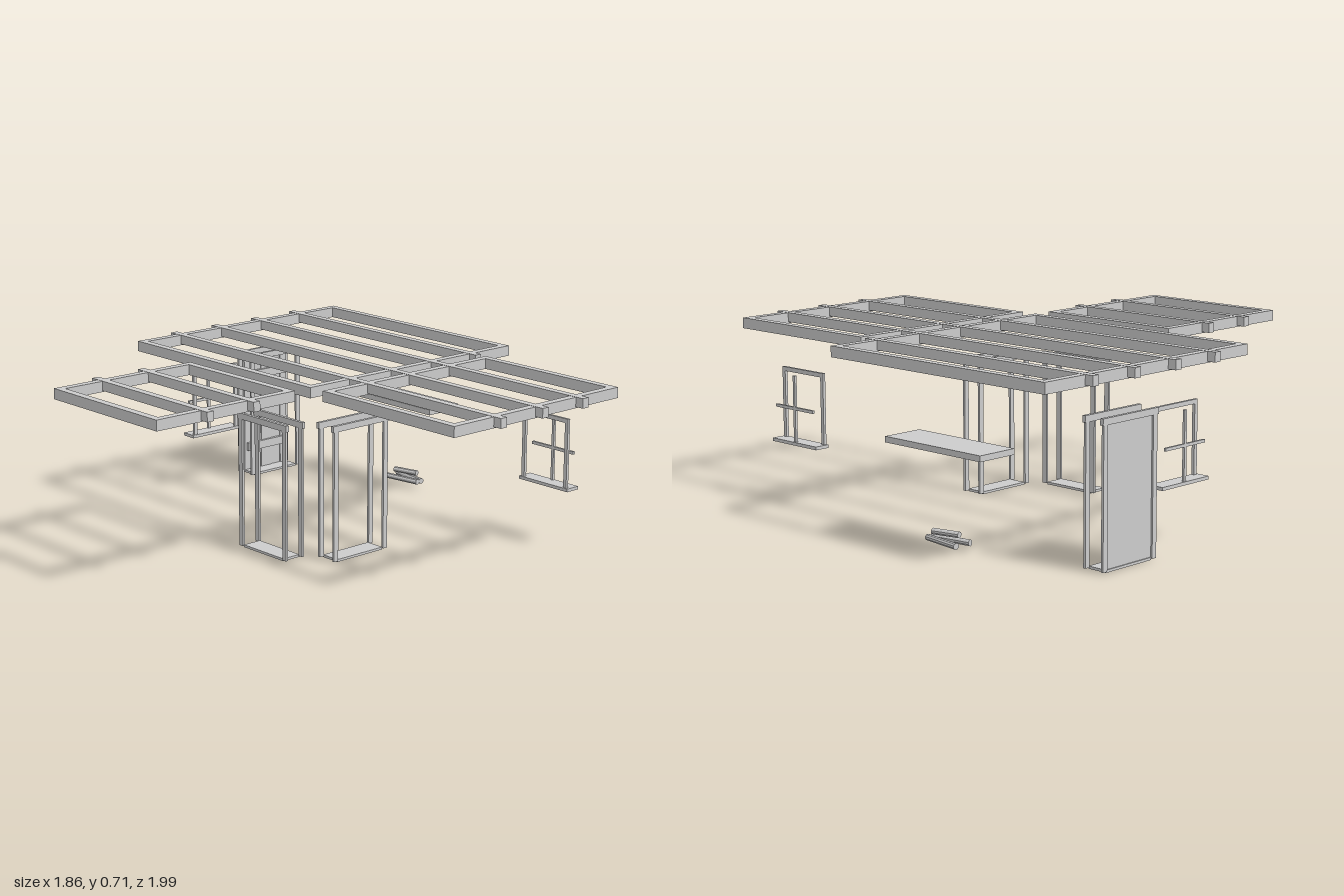
import * as THREE from 'three';

const grey = new THREE.MeshStandardMaterial({ color: 0xcccccc, flatShading: true });

// Box given by its min and max on each axis
function slab(parent, name, x0, x1, y0, y1, z0, z1) {
  const mesh = new THREE.Mesh(new THREE.BoxGeometry(x1 - x0, y1 - y0, z1 - z0), grey);
  mesh.position.set((x0 + x1) / 2, (y0 + y1) / 2, (z0 + z1) / 2);
  mesh.name = name;
  parent.add(mesh);
  return mesh;
}

function group(parent, name, x = 0, z = 0, turn = 0) {
  const g = new THREE.Group();
  g.name = name;
  g.position.set(x, 0, z);
  g.rotation.y = turn;
  parent.add(g);
  return g;
}

// Rectangular ceiling frame with rafters that stick out past both ends
function ceilingFrame(parent, name, x0, x1, z0, z1, rafters) {
  const g = group(parent, name);
  const w = 0.032, out = 0.036, lo = 0.662, hi = 0.705;
  slab(g, 'leftBeam', x1 - w, x1, lo, hi, z0, z1);
  slab(g, 'rightBeam', x0, x0 + w, lo, hi, z0, z1);
  slab(g, 'backBeam', x0 + w, x1 - w, lo, hi, z0, z0 + w);
  slab(g, 'frontBeam', x0 + w, x1 - w, lo, hi, z1 - w, z1);
  for (const x of rafters) slab(g, 'rafter', x - 0.016, x + 0.016, 0.667, hi + 0.001, z0 - out, z1 + out);
}

// Doorway: trim on both faces of the wall, joined by a threshold
function doorway(parent, name, x, z, turn) {
  const g = group(parent, name, x, z, turn);
  for (const s of [-1, 1]) {
    const c = s * 0.042;
    for (const side of [-1, 1]) {
      const m = side * 0.132;
      slab(g, 'jamb', m - 0.011, m + 0.011, 0.005, 0.532, c - 0.005, c + 0.005);
    }
    slab(g, 'lintel', -0.149, 0.149, 0.532, 0.557, c - 0.007, c + 0.007);
  }
  slab(g, 'threshold', -0.121, 0.121, 0, 0.01, -0.042, 0.042);
  return g;
}

// Window: frame on the inner face, glazing bars on the outer face, deep sill
function windowUnit(parent, name, x, z, turn) {
  const g = group(parent, name, x, z, turn);
  for (const side of [-1, 1]) {
    const m = side * 0.114;
    slab(g, 'windowJamb', m - 0.008, m + 0.008, 0.248, 0.516, -0.028, -0.016);
  }
  slab(g, 'windowHead', -0.122, 0.122, 0.516, 0.533, -0.028, -0.016);
  slab(g, 'verticalBar', -0.006, 0.006, 0.248, 0.515, 0.02, 0.03);
  slab(g, 'horizontalBar', -0.111, 0.111, 0.377, 0.389, 0.02, 0.03);
  slab(g, 'sill', -0.131, 0.131, 0.235, 0.248, -0.031, 0.034);
}

export function createModel() {
  const model = new THREE.Group();
  model.name = 'houseFittings';

  // Ceiling frames of the three rooms
  ceilingFrame(model, 'mainCeiling', -0.185, 0.925, -0.925, 0.174, [0.036, 0.26, 0.483, 0.705]);
  ceilingFrame(model, 'sideCeiling', -0.932, -0.262, -0.473, 0.174, [-0.708, -0.484]);
  ceilingFrame(model, 'frontCeiling', -0.185, 0.71, 0.245, 0.957, [0.036, 0.26, 0.483]);

  // Doorways and windows
  doorway(model, 'frontDoorway', 0.009, 0.21, 0);
  doorway(model, 'sideDoorway', -0.223, -0.018, Math.PI / 2);
  const back = doorway(model, 'backDoorway', 0.56, -0.95, Math.PI);
  windowUnit(model, 'sideWindow', 0.72, 0.6, Math.PI / 2);
  windowUnit(model, 'backWindow', 0.219, -0.934, Math.PI);

  // Plank door with two cross battens on its inner face
  const door = group(back, 'plankDoor');
  const edges = [-0.121, -0.084, -0.028, 0.028, 0.121];
  for (let i = 0; i < 4; i++) {
    const inset = i % 2 ? 0.004 : 0;
    slab(door, 'plank', edges[i], edges[i + 1], 0.011, 0.531, 0.022 + inset, 0.04);
  }
  for (const y of [0.117, 0.446]) slab(door, 'batten', -0.109, 0.109, y - 0.018, y + 0.018, 0.011, 0.027);

  // Counter against the side wall
  slab(model, 'counter', 0.747, 0.92, 0.378, 0.401, -0.608, -0.114);

  // Small pile of logs: x, y, length, turn
  const pile = group(model, 'logPile', 0, -0.352);
  for (const [x, y, length, turn] of [
    [0.817, 0.033, 0.176, 0.14],
    [0.864, 0.033, 0.176, -0.14],
    [0.842, 0.062, 0.116, 0.22],
  ]) {
    const geometry = new THREE.CylinderGeometry(0.0125, 0.0125, length, 10).rotateX(Math.PI / 2);
    const log = new THREE.Mesh(geometry, grey);
    log.name = 'log';
    log.position.set(x, y, 0);
    log.rotation.y = turn;
    pile.add(log);
  }

  return model;
}
